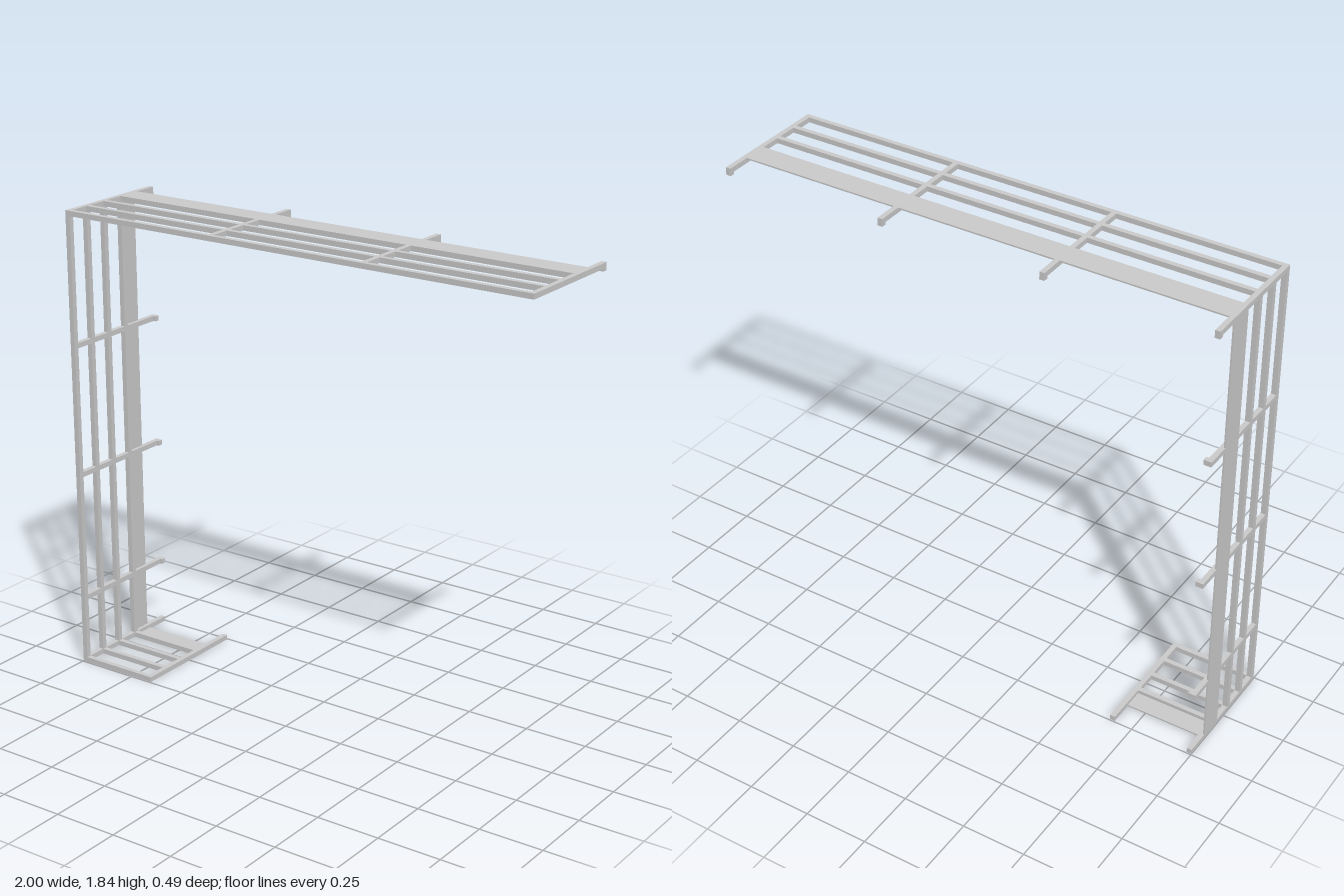
import * as THREE from 'three';

const T = 0.02;        // bar thickness
const H = 1.837;       // overall height
const D = 0.245;       // half depth
const END = -0.655;    // free end of the lower shelf
const PLATE = 0.006;   // slat panel thickness
const RAIL_Z = [0.235, 0.138, 0.04, -0.06];

export function createModel() {
  const model = new THREE.Group();
  const mat = new THREE.MeshStandardMaterial({ color: 0xcccccc, flatShading: true });

  // Box given by its min and max corners
  function bar(parent, name, a, b) {
    const mesh = new THREE.Mesh(new THREE.BoxGeometry(b[0] - a[0], b[1] - a[1], b[2] - a[2]), mat);
    mesh.position.set((a[0] + b[0]) / 2, (a[1] + b[1]) / 2, (a[2] + b[2]) / 2);
    mesh.name = name;
    parent.add(mesh);
  }
  function section(name) {
    const g = new THREE.Group();
    g.name = name;
    model.add(g);
    return g;
  }
  const top = section('topFrame');
  const wall = section('wallFrame');
  const shelf = section('bottomFrame');

  // Long rails of the three sections
  for (const z of RAIL_Z) {
    const z0 = z - T / 2, z1 = z + T / 2;
    bar(top, 'topRail', [-1, H - T, z0], [1, H, z1]);
    bar(wall, 'upright', [-1, T, z0], [-1 + T, H - T, z1]);
    bar(shelf, 'bottomRail', [-1, 0, z0], [END, T, z1]);
  }

  // Wide flat panels on the outer faces
  bar(top, 'topPanel', [-1, H - PLATE, -0.148], [1, H, -0.05]);
  bar(wall, 'wallPanel', [-1, 0, -0.148], [-1 + PLATE, H, -0.05]);
  bar(shelf, 'bottomPanel', [-1, 0, -0.148], [END, PLATE, -0.05]);

  // Top cross bars, each with a small stop turned down at the back
  for (const x of [-0.99, -0.331, 0.326, 0.99]) {
    bar(top, 'topCrossBar', [x - T / 2, H - T, -D], [x + T / 2, H, D]);
    bar(top, 'topStop', [x - T / 2, H - T - 0.01, -D], [x + T / 2, H - T, -D + T]);
  }

  // Wall cross bars, with the stop turned inward
  for (const y of [0.275, 0.79, 1.311]) {
    bar(wall, 'wallCrossBar', [-1, y - T / 2, -D], [-1 + T, y + T / 2, D]);
    bar(wall, 'wallStop', [-1 + T, y - T / 2, -D], [-1 + T + 0.01, y + T / 2, -D + T]);
  }

  // Plain cross bars at both ends of the lower shelf
  for (const x of [-1, END - T]) {
    bar(shelf, 'bottomCrossBar', [x, 0, -D], [x + T, T, D]);
  }
  return model;
}
